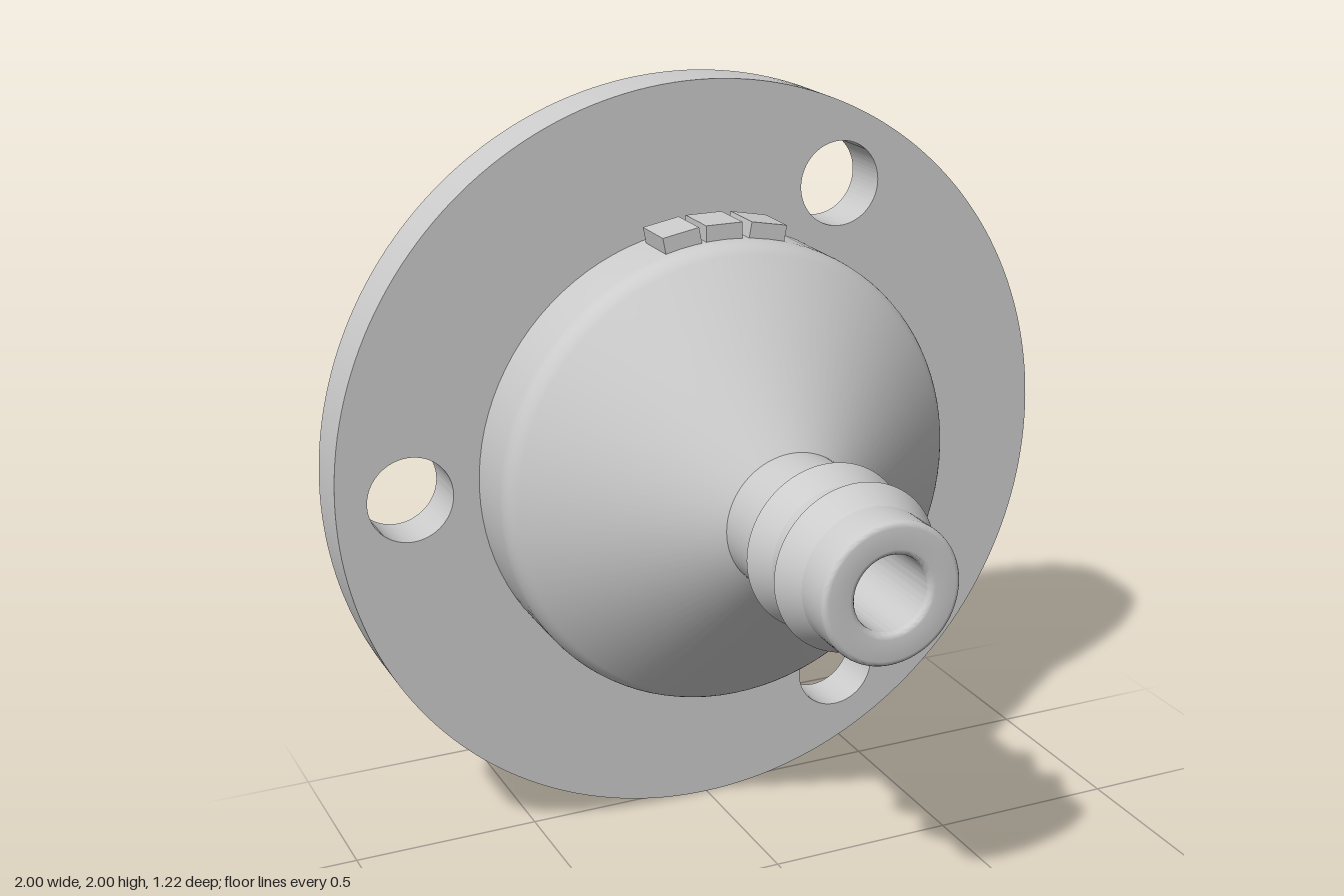
import * as THREE from 'three';
import { toCreasedNormals } from 'three/addons/utils/BufferGeometryUtils.js';

const SEG = 96;
const BACK = -0.61, FLANGE_FRONT = -0.465, THREAD_END = -0.28;
const CREST = 0.51, ROOT = 0.55, PITCH = 0.09;

export function createModel() {
  const group = new THREE.Group();
  const material = new THREE.MeshStandardMaterial({ color: 0xcccccc });

  const add = (name, geometry, crease = 0.4) => {
    const mesh = new THREE.Mesh(toCreasedNormals(geometry, crease), material);
    mesh.name = name;
    mesh.position.y = 1;
    group.add(mesh);
    return mesh;
  };

  // Turns a [radius, z] profile around the z axis; rising z faces outwards.
  const turn = (profile) =>
    new THREE.LatheGeometry(profile.map(([r, z]) => new THREE.Vector2(r, z)), SEG).rotateX(Math.PI / 2);

  // Points of a rounded corner in a profile.
  const arc = (r, z, radius, from, to, steps = 6) =>
    Array.from({ length: steps + 1 }, (_, i) => {
      const a = THREE.MathUtils.degToRad(from + ((to - from) * i) / steps);
      return [r + radius * Math.cos(a), z + radius * Math.sin(a)];
    });

  // Flange with three bolt holes
  const disc = new THREE.Shape().absarc(0, 0, 1, 0, Math.PI * 2);
  const cutHole = (x, y, r) => disc.holes.push(new THREE.Path().absarc(x, y, r, 0, Math.PI * 2, true));
  cutHole(0, 0, 0.58);
  for (const deg of [60, 180, 300]) {
    const a = THREE.MathUtils.degToRad(deg);
    cutHole(0.805 * Math.cos(a), 0.805 * Math.sin(a), 0.113);
  }
  const flange = new THREE.ExtrudeGeometry(disc, {
    depth: FLANGE_FRONT - BACK, bevelEnabled: false, curveSegments: SEG,
  });
  add('flange', flange.translate(0, 0, BACK));

  // Collar and cone
  add('funnelBody', turn([
    [0.623, FLANGE_FRONT],
    ...arc(0.543, -0.305, 0.08, 0, 49),
    [0.178, 0.085],
  ]));

  // Hose barb with two ridges and a rounded tip
  add('hoseBarb', turn([
    [0.178, 0.085], [0.178, 0.24], [0.212, 0.275], [0.178, 0.345],
    [0.178, 0.385], [0.212, 0.425], [0.178, 0.5],
    ...arc(0.163, 0.595, 0.015, 0, 90, 4),
    ...arc(0.11, 0.595, 0.015, 90, 180, 4),
  ]));

  // Inside of the barb and cone
  add('innerPassage', turn([
    [0.095, 0.595], [0.095, 0.04],
    [0.45, -0.255], ...arc(0.45, -0.315, 0.06, 50, 0, 5).slice(1), [CREST, -0.32],
  ]));

  // Threaded bore: the profile is sheared into a helix and clipped at both ends
  const rows = [];
  for (let z = THREAD_END; z > BACK - 2 * PITCH; z -= PITCH) {
    rows.push([CREST, z], [CREST, z - 0.03], [ROOT, z - 0.045], [ROOT, z - 0.075]);
  }
  const bore = new THREE.LatheGeometry(rows.map(([r, z]) => new THREE.Vector2(r, z)), SEG);
  const pos = bore.attributes.position;
  for (let i = 0; i < pos.count; i++) {
    const y = pos.getY(i) + (PITCH * Math.floor(i / rows.length)) / SEG;
    const clipped = THREE.MathUtils.clamp(y, BACK, THREAD_END - 0.04);
    if (clipped !== y) {
      const k = CREST / Math.hypot(pos.getX(i), pos.getZ(i));
      pos.setX(i, pos.getX(i) * k);
      pos.setZ(i, pos.getZ(i) * k);
    }
    pos.setY(i, clipped);
  }
  add('threadedBore', bore.rotateX(Math.PI / 2));

  // Flat rim joining the bore to the back of the flange
  add('boreRim', turn([[CREST, BACK], [0.58, BACK]]));

  // Three plain raised tabs on top of the collar
  for (const angle of [-0.18, 0, 0.19]) {
    const tab = new THREE.BoxGeometry(0.1, 0.06, 0.13).translate(0, 0.633, -0.375);
    add('raisedTab', tab.rotateZ(-angle));
  }

  return group;
}
